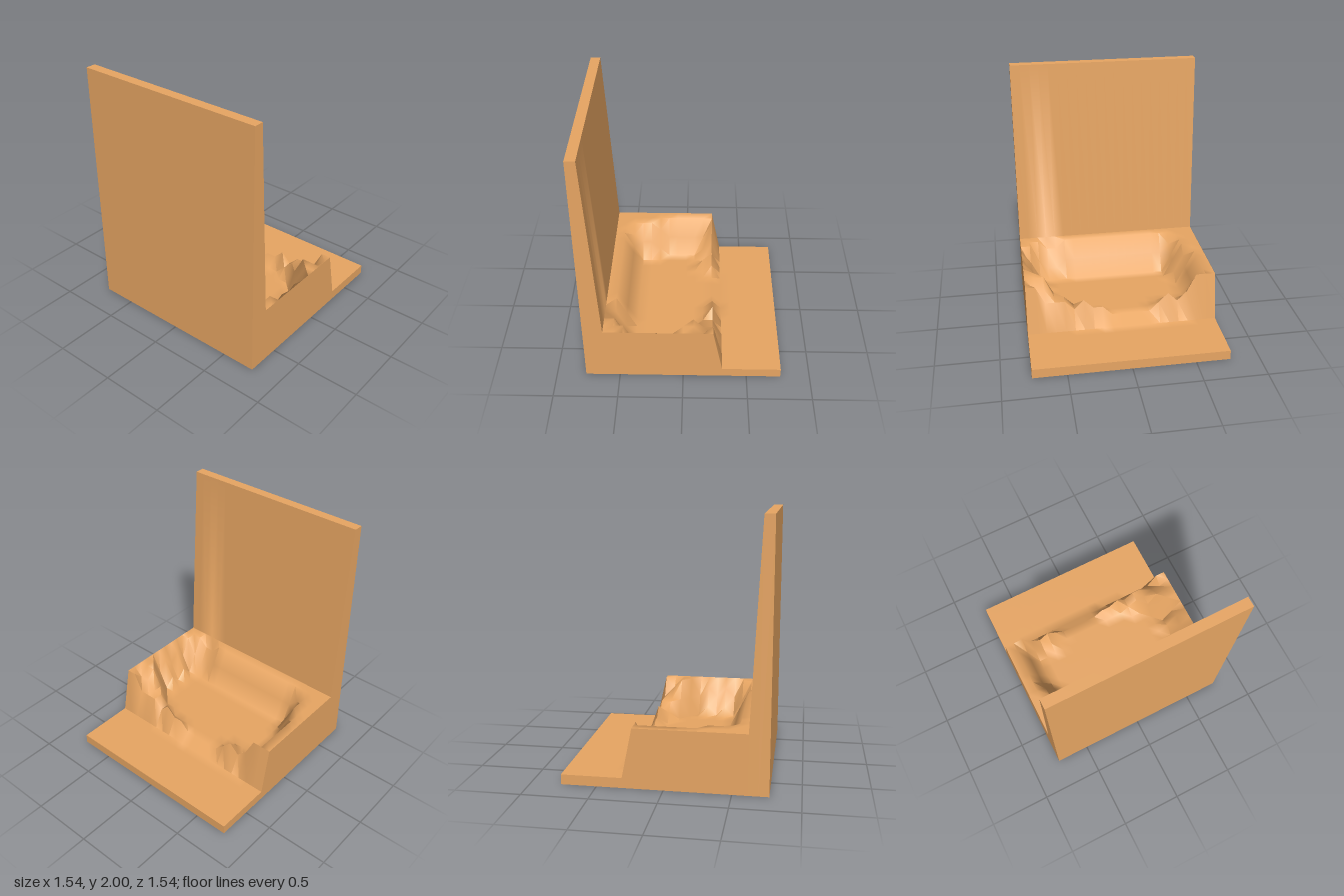
import * as THREE from 'three';
import { toCreasedNormals } from 'three/addons/utils/BufferGeometryUtils.js';

const U = 2 / 26; // one grid step, sideways and upwards
const N = 20;     // steps along each side

// Jagged bank along the open edge of the basin (rows 7 and 8)
const BANK = [
  [6, 6, 6, 4, 3, 4, 3, 2, 2, 2, 2, 2, 3, 3, 4, 3, 4, 4, 4, 6, 6],
  [6, 6, 4, 3, 2, 3, 2, 2, 2, 2, 2, 2, 2, 2, 2, 3, 4, 4, 5, 5, 6],
];
// Where each rim starts to slope down into the basin, rows 9 to 17
const RIM_A = [1, 1, 1, 1, 1.5, 2, 2, 2.5, 3];
const RIM_B = [18, 19, 20, 19.5, 20, 19.5, 20, 19, 18];

function heightAt(i, j) {
  if (j <= 6) return 1;                 // flat apron
  if (j >= 19) return 26;               // tall wall
  if (j === 18 || i === 0 || i === N) return 6;
  if (j <= 8) return BANK[j - 7][i];
  const a = 6 - 2 * Math.max(0, i - RIM_A[j - 9]);
  const b = 6 - 2 * Math.max(0, RIM_B[j - 9] - i);
  let back = 6 - 2 * (17 - j);          // slope at the foot of the wall
  if (i > 15) back -= 1;
  return Math.max(2, a, b, back);
}

function buildTerrain() {
  const pos = [];
  const top = (i, j) => [(i - N / 2) * U, heightAt(i, j) * U, (j - N / 2) * U];
  const foot = (i, j) => [(i - N / 2) * U, 0, (j - N / 2) * U];
  const quad = (a, b, c, d) => pos.push(...a, ...b, ...c, ...a, ...c, ...d);

  // Upper surface
  for (let j = 0; j < N; j++) {
    for (let i = 0; i < N; i++) {
      quad(top(i, j), top(i, j + 1), top(i + 1, j + 1), top(i + 1, j));
    }
  }
  // Four upright sides
  for (let k = 0; k < N; k++) {
    quad(foot(k, N), foot(k + 1, N), top(k + 1, N), top(k, N));
    quad(foot(k + 1, 0), foot(k, 0), top(k, 0), top(k + 1, 0));
    quad(foot(0, k), foot(0, k + 1), top(0, k + 1), top(0, k));
    quad(foot(N, k + 1), foot(N, k), top(N, k), top(N, k + 1));
  }
  // Underside
  quad(foot(0, 0), foot(N, 0), foot(N, N), foot(0, N));

  const geometry = new THREE.BufferGeometry();
  geometry.setAttribute('position', new THREE.Float32BufferAttribute(pos, 3));
  return toCreasedNormals(geometry, 1.13);
}

export function createModel() {
  const group = new THREE.Group();
  group.name = 'terrainBlock';
  const material = new THREE.MeshStandardMaterial({ color: 0xe8a663 });
  const terrain = new THREE.Mesh(buildTerrain(), material);
  terrain.name = 'terrainWithWall';
  group.add(terrain);
  return group;
}
